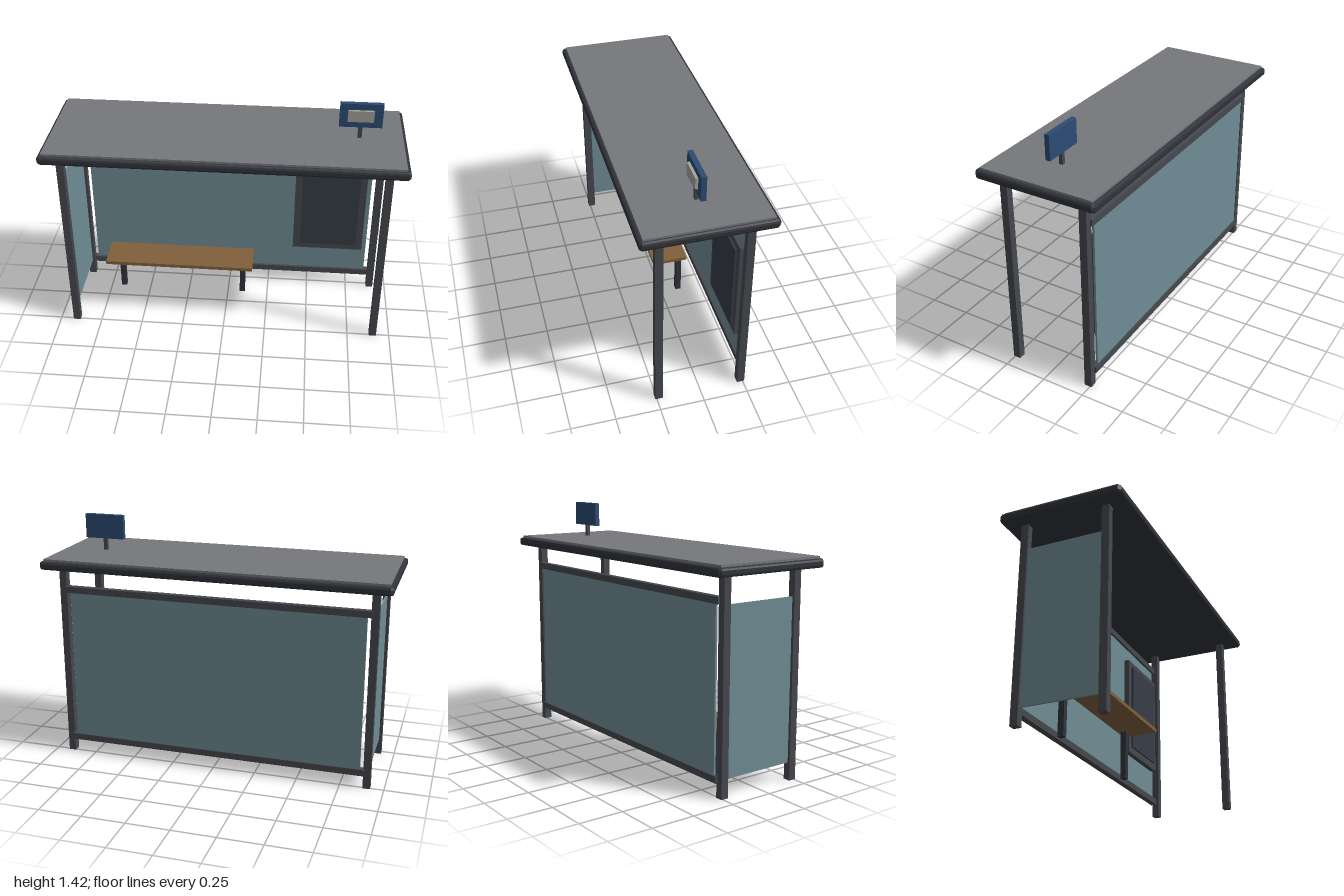
import * as THREE from 'three';

const mat = (color) => new THREE.MeshStandardMaterial({ color });

export function createModel() {
  const model = new THREE.Group();
  model.name = 'busShelter';
  const frame = mat(0x45484e), dark = mat(0x30333a), glass = mat(0x6f8c94);
  const wood = mat(0x80603c), roofGrey = mat(0x75777c), blue = mat(0x2c4c74);
  const pale = mat(0xa5a29c), poster = mat(0x363c47);

  const add = (name, geometry, material, parent = model) => {
    const mesh = new THREE.Mesh(geometry, material);
    mesh.name = name;
    parent.add(mesh);
    return mesh;
  };
  // Box given by its extents along each axis
  const box = (name, [x0, x1], [y0, y1], [z0, z1], material, parent) => {
    const mesh = add(name, new THREE.BoxGeometry(x1 - x0, y1 - y0, z1 - z0), material, parent);
    mesh.position.set((x0 + x1) / 2, (y0 + y1) / 2, (z0 + z1) / 2);
    return mesh;
  };
  const around = (c, size) => [c - size / 2, c + size / 2];

  // Four corner posts
  for (const x of [-0.902, 0.902])
    for (const z of [-0.238, 0.238])
      box('post', around(x, 0.042), [0, 1.145], around(z, 0.043), frame);

  // Back wall: rails and glass
  for (const y of [0.098, 1.022])
    box('backRail', [-0.89, 0.89], around(y, 0.037), [-0.272, -0.236], frame);
  box('backGlass', [-0.862, 0.858], [0.1, 1.005], [-0.262, -0.25], glass);

  // Single side glass on the right end
  box('sideGlass', around(-0.902, 0.011), [0.098, 1.0], [-0.22, 0.22], glass);

  // Poster case on the back wall
  const posterCase = new THREE.Group();
  posterCase.name = 'posterCase';
  model.add(posterCase);
  box('posterFrame', [0.4, 0.83], [0.288, 0.908], [-0.248, -0.216], frame, posterCase);
  box('posterPanel', [0.443, 0.79], [0.328, 0.87], [-0.22, -0.205], poster, posterCase);

  // Bench
  const bench = new THREE.Group();
  bench.name = 'bench';
  model.add(bench);
  box('benchSeat', [-0.738, 0.16], [0.288, 0.309], [-0.142, 0.066], wood, bench);
  for (const x of [-0.67, 0.092])
    box('benchLeg', around(x, 0.033), [0.008, 0.288], around(-0.107, 0.033), dark, bench);

  // Roof rim: plate with chamfered edges and clipped corners
  const bevel = 0.014, hx = 1 - bevel, hz = 0.356 - bevel, c = 0.006;
  const outline = new THREE.Shape([
    [hx, -hz + c], [hx, hz - c], [hx - c, hz], [-hx + c, hz],
    [-hx, hz - c], [-hx, -hz + c], [-hx + c, -hz], [hx - c, -hz],
  ].map(([x, y]) => new THREE.Vector2(x, y)));
  const rimGeometry = new THREE.ExtrudeGeometry(outline, {
    depth: 0.02, bevelEnabled: true, bevelSize: bevel, bevelThickness: bevel, bevelSegments: 2,
  });
  rimGeometry.rotateX(-Math.PI / 2);
  add('roofRim', rimGeometry, dark).position.y = 1.15 + bevel;
  box('roofPanel', [-0.98, 0.98], [1.19, 1.21], [-0.334, 0.334], roofGrey);

  // Stop sign on the roof
  const sign = new THREE.Group();
  sign.name = 'sign';
  model.add(sign);
  box('signPost', around(0.738, 0.022), [1.205, 1.285], around(0, 0.02), frame, sign);
  box('signBoard', [0.62, 0.856], [1.279, 1.42], [-0.014, 0.014], blue, sign);
  box('signPlate', [0.664, 0.807], [1.318, 1.384], [0.01, 0.029], pale, sign);

  return model;
}
